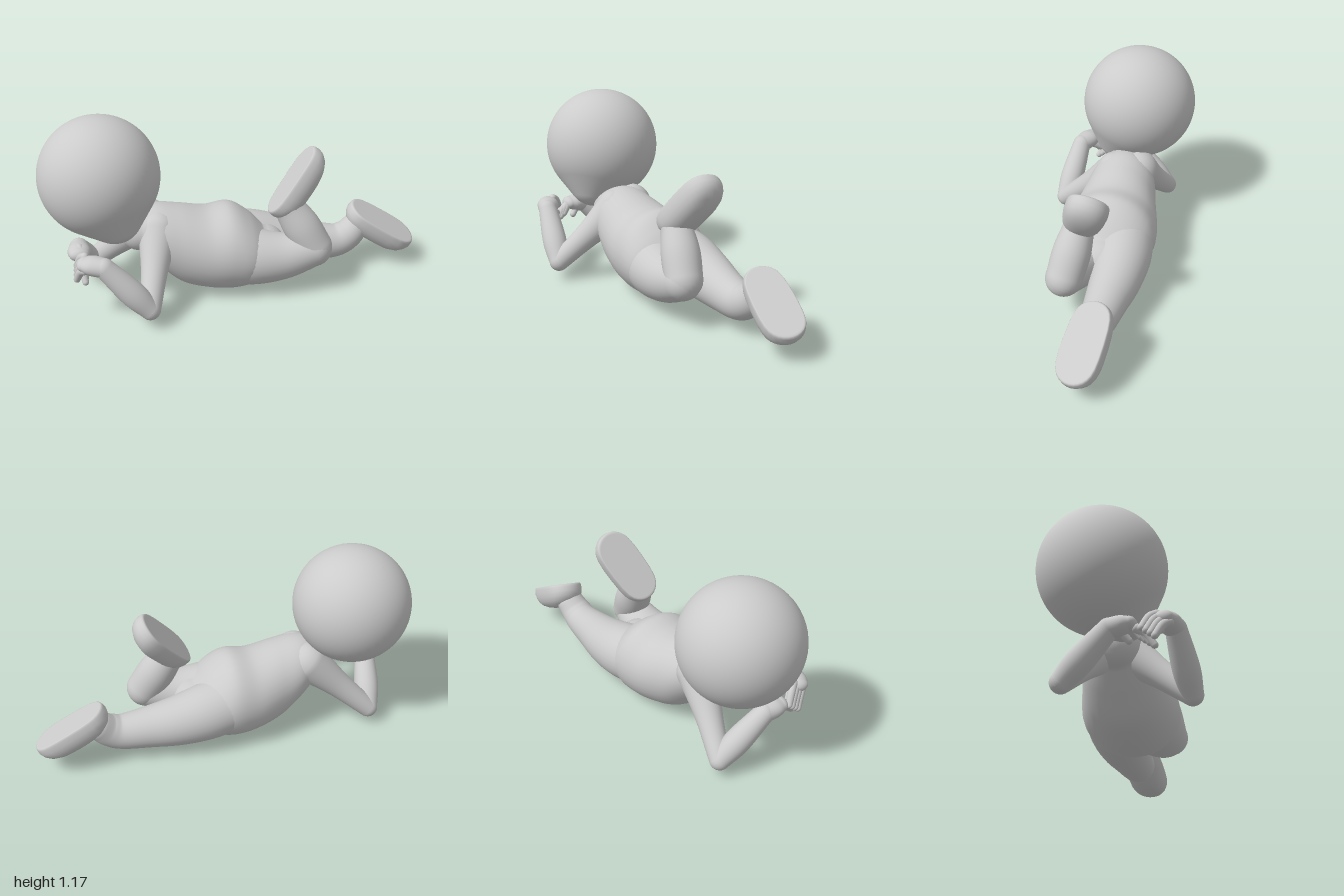
import * as THREE from 'three';

const material = new THREE.MeshStandardMaterial({ color: 0xcccccc, roughness: 0.8 });
const V = (x, y, z) => new THREE.Vector3(x, y, z);
const SIDES = 32;

// Closed smooth skin over a list of rings, each an array of SIDES points
function skin(rings) {
  const pos = [], index = [], n = SIDES, last = (rings.length - 1) * n;
  rings.forEach(r => r.forEach(p => pos.push(p.x, p.y, p.z)));
  const middle = r => r.reduce((s, p) => s.add(p), V(0, 0, 0)).divideScalar(n);
  const a = middle(rings[0]), b = middle(rings[rings.length - 1]);
  pos.push(a.x, a.y, a.z, b.x, b.y, b.z);
  for (let j = 0; j < n; j++) {
    const k = (j + 1) % n;
    for (let i = 0; i < last; i += n) {
      index.push(i + j, i + k, i + n + j, i + k, i + n + k, i + n + j);
    }
    index.push(last + n, k, j, last + n + 1, last + j, last + k);
  }
  const g = new THREE.BufferGeometry();
  g.setAttribute('position', new THREE.Float32BufferAttribute(pos, 3));
  g.setIndex(index);
  g.computeVertexNormals();
  return g;
}

// Tapered round-ended tube; stations are [x, y, z, half width, half height].
// Rings stand across the path, or across a fixed axis if one is given.
function limb(stations, hint = V(0, 1, 0), steps = 28, axis = null) {
  const curve = new THREE.CatmullRomCurve3(stations.map(s => V(s[0], s[1], s[2])), false, 'catmullrom');
  const size = new THREE.CatmullRomCurve3(stations.map(s => V(s[3], s[4] ?? s[3], 0)), false, 'catmullrom');
  const ring = (t, push, scale) => {
    const c = curve.getPoint(t), tan = axis ?? curve.getTangent(t), r = size.getPoint(t);
    const side = hint.clone().cross(tan).normalize();
    const up = tan.clone().cross(side);
    c.addScaledVector(tan, push * Math.min(r.x, r.y));
    return Array.from({ length: SIDES }, (_, j) => {
      const a = j / SIDES * Math.PI * 2;
      return c.clone().addScaledVector(side, Math.cos(a) * r.x * scale)
        .addScaledVector(up, Math.sin(a) * r.y * scale);
    });
  };
  const rings = [];
  const caps = 7;
  for (let i = 0; i < caps; i++) {
    const a = (i + 0.3) / caps * Math.PI / 2;
    rings.push(ring(0, -Math.cos(a), Math.sin(a)));
  }
  for (let i = 0; i <= steps; i++) rings.push(ring(i / steps, 0, 1));
  for (let i = caps - 1; i >= 0; i--) {
    const a = (i + 0.3) / caps * Math.PI / 2;
    rings.push(ring(1, Math.cos(a), Math.sin(a)));
  }
  return skin(rings);
}

// Flat-soled foot: sole at y = 0 facing +y, toe towards +z
function footGeometry() {
  const layers = [[0, 0.92], [0, 0.96], [0.005, 0.985], [0.015, 1], [0.045, 1.01], [0.075, 0.97],
    [0.105, 0.88], [0.13, 0.71], [0.147, 0.48], [0.155, 0.22]];
  return skin(layers.map(([depth, s]) => Array.from({ length: SIDES }, (_, j) => {
    const a = j / SIDES * Math.PI * 2, sin = Math.sin(a);
    const half = 0.127 + 0.012 * sin;
    return V(Math.cos(a) * half * s, -depth, (sin * half + Math.tanh(sin * 3) * 0.12) * s);
  })));
}

// Big round head narrowing to a small jaw
function headGeometry(R, r, dist) {
  const turn = Math.acos((R - r) / dist), points = [];
  for (let i = 0; i <= 12; i++) {
    const a = turn * i / 12;
    points.push(new THREE.Vector2(Math.sin(a) * r, -Math.cos(a) * r - dist));
  }
  for (let i = 0; i <= 36; i++) {
    const a = turn + (Math.PI - turn) * i / 36;
    points.push(new THREE.Vector2(Math.max(0, Math.sin(a) * R), -Math.cos(a) * R));
  }
  return new THREE.LatheGeometry(points, 64);
}

export function createModel() {
  const model = new THREE.Group();
  const add = (name, geometry, parent = model) => {
    const mesh = new THREE.Mesh(geometry, material);
    mesh.name = name;
    parent.add(mesh);
    return mesh;
  };

  // Head
  const centre = V(-0.635, 0.803, 0.425), jaw = V(-0.515, 0.58, 0.465);
  const axis = jaw.clone().sub(centre);
  const head = add('head', headGeometry(0.367, 0.17, axis.length()));
  head.position.copy(centre);
  head.quaternion.setFromUnitVectors(V(0, -1, 0), axis.normalize());

  // Torso, lying on the belly with raised chest
  add('torso', limb([
    [-0.43, 0.44, 0.32, 0.14, 0.13],
    [-0.34, 0.39, 0.25, 0.205, 0.2],
    [-0.23, 0.32, 0.17, 0.24, 0.25],
    [-0.1, 0.277, 0.07, 0.275, 0.258],
    [0.02, 0.276, -0.015, 0.292, 0.272],
    [0.12, 0.255, -0.075, 0.275, 0.225],
    [0.2, 0.235, -0.13, 0.22, 0.15],
  ], undefined, 48, V(0.83, 0, -0.56).normalize()));

  // Bent leg
  const bentLeg = new THREE.Group();
  bentLeg.name = 'bentLeg';
  model.add(bentLeg);
  add('thigh', limb([[0.06, 0.255, 0.035, 0.19], [0.2, 0.235, -0.005, 0.178],
    [0.36, 0.24, -0.08, 0.147], [0.525, 0.285, -0.172, 0.112]]), bentLeg);
  add('shin', limb([[0.525, 0.295, -0.178, 0.112], [0.445, 0.43, -0.155, 0.115], [0.37, 0.55, -0.13, 0.095]], V(0, 0, 1)), bentLeg);

  // Stretched leg
  const straightLeg = new THREE.Group();
  straightLeg.name = 'straightLeg';
  model.add(straightLeg);
  add('leg', limb([[-0.02, 0.27, -0.115, 0.18], [0.1, 0.24, -0.215, 0.178], [0.24, 0.21, -0.315, 0.157],
    [0.4, 0.19, -0.41, 0.13], [0.54, 0.182, -0.495, 0.11], [0.61, 0.215, -0.545, 0.1],
    [0.65, 0.265, -0.585, 0.09]]), straightLeg);

  // Feet: sole centre, sole normal, toe direction
  const feet = [
    [bentLeg, V(0.345, 0.712, -0.18), V(-0.66, 0.56, 0.34), V(0.37, 0.72, -0.59)],
    [straightLeg, V(0.8, 0.308, -0.675), V(0.5, 0.8, -0.1), V(0.76, -0.52, -0.39)],
  ];
  for (const [parent, at, normal, toe] of feet) {
    const foot = add('foot', footGeometry(), parent);
    const x = normal.normalize().clone().cross(toe).normalize();
    foot.quaternion.setFromRotationMatrix(new THREE.Matrix4().makeBasis(x, normal, x.clone().cross(normal)));
    foot.position.copy(at);
  }

  // Arms propping up the chin: shoulder, elbow, wrist, knuckles, fingertips
  const arms = [
    ['leftArm', [-0.31, 0.45, 0.3], [-0.175, 0.125, 0.66], [-0.41, 0.405, 0.765], [-0.53, 0.415, 0.785], [-0.61, 0.32, 0.755]],
    ['rightArm', [-0.43, 0.455, 0.21], [-0.815, 0.11, 0.315], [-0.715, 0.365, 0.57], [-0.65, 0.38, 0.66], [-0.575, 0.29, 0.72]],
  ];
  for (const [name, shoulder, elbow, wrist, knuckle, tip] of arms) {
    const arm = new THREE.Group();
    arm.name = name;
    model.add(arm);
    const mix = (a, b, t) => a.map((v, i) => v + (b[i] - v) * t);
    add('upperArm', limb([[...shoulder, 0.128], [...mix(shoulder, elbow, 0.5), 0.083], [...elbow, 0.062]], V(1, 0, 0)), arm);
    add('forearm', limb([[...elbow, 0.062], [...mix(elbow, wrist, 0.4), 0.077], [...wrist, 0.06]], V(1, 0, 0)), arm);
    add('palm', limb([[...wrist, 0.06, 0.058], [...mix(wrist, knuckle, 0.6), 0.07, 0.056], [...knuckle, 0.062, 0.042]]), arm);
    // Four curled fingers side by side
    for (let i = 0; i < 4; i++) {
      const s = i - 1.5, shift = p => [p[0] + s * 0.012, p[1] - s * 0.018, p[2] + s * 0.02];
      const bend = mix(knuckle, tip, 0.5);
      bend[1] += 0.02;
      add('finger', limb([[...shift(knuckle), 0.025], [...shift(bend), 0.024], [...shift(tip), 0.02]], V(0.3, 0.2, 1), 8), arm);
    }
    const thumbEnd = mix(knuckle, tip, 0.3);
    add('thumb', limb([[...mix(wrist, knuckle, 0.4), 0.026], [thumbEnd[0], thumbEnd[1] - 0.05, thumbEnd[2] - 0.045, 0.02]], V(0.3, 0.2, 1), 8), arm);
  }
  return model;
}
